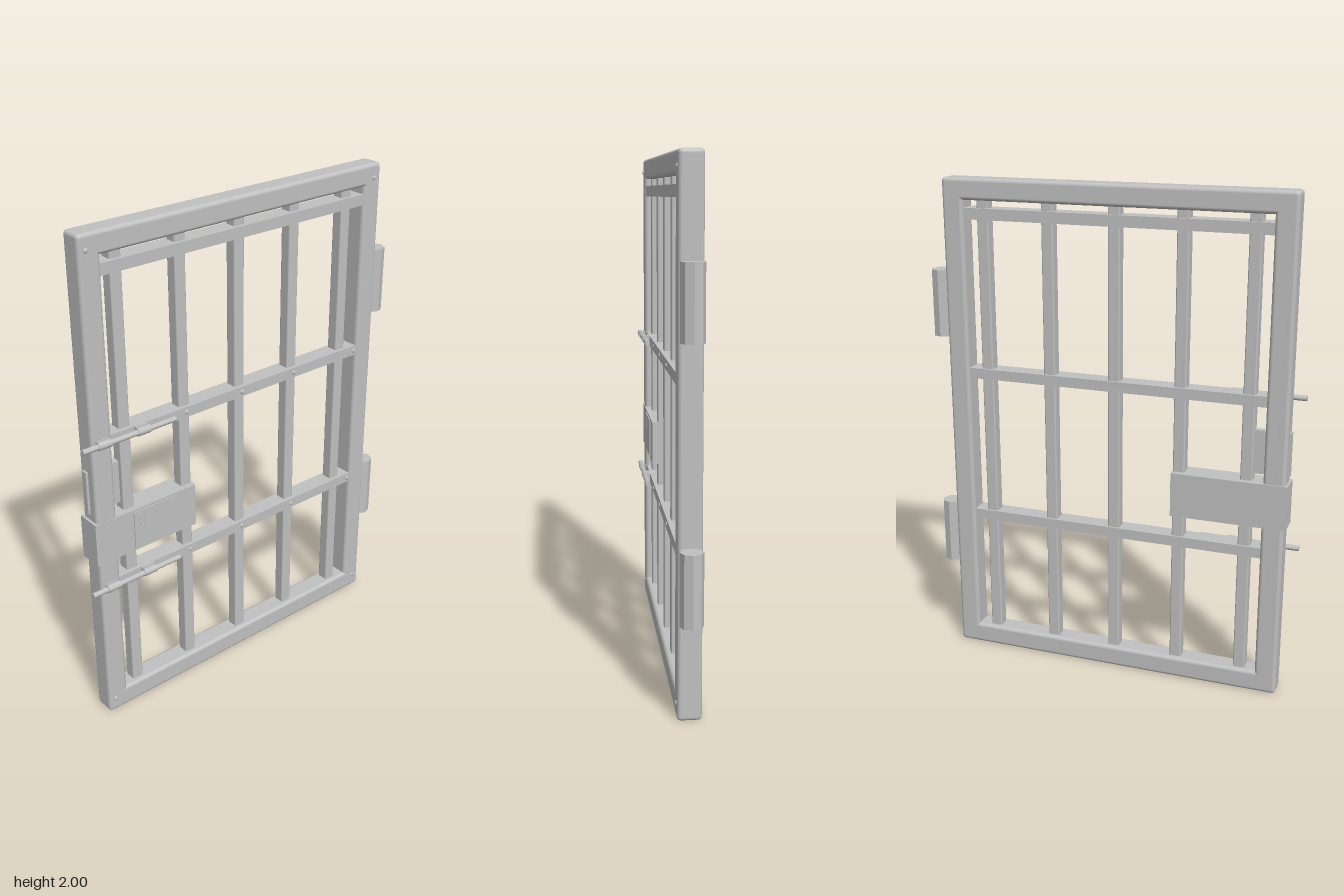
import * as THREE from 'three';
import { RoundedBoxGeometry } from 'three/addons/geometries/RoundedBoxGeometry.js';

export function createModel() {
  const model = new THREE.Group();
  model.name = 'barredGate';
  const steel = new THREE.MeshStandardMaterial({ color: 0xc0c0c0 });
  steel.name = 'steelGrey';

  const add = (name, geometry, x, y, z) => {
    const mesh = new THREE.Mesh(geometry, steel);
    mesh.name = name;
    mesh.position.set(x, y, z);
    model.add(mesh);
    return mesh;
  };
  // box given by its extents on each axis
  const box = (name, x0, x1, y0, y1, z0, z1, bevel = 0) => {
    const size = [x1 - x0, y1 - y0, z1 - z0];
    const geometry = bevel
      ? new RoundedBoxGeometry(...size, 3, bevel)
      : new THREE.BoxGeometry(...size);
    return add(name, geometry, (x0 + x1) / 2, (y0 + y1) / 2, (z0 + z1) / 2);
  };
  const rivet = (x, y, z) => {
    const dome = new THREE.SphereGeometry(0.01, 10, 4, 0, Math.PI * 2, 0, Math.PI / 2);
    dome.rotateX(Math.PI / 2).scale(1, 1, 0.6);
    add('rivet', dome, x, y, z);
  };

  // outer frame
  const back = -0.056, front = 0.034;
  box('leftStile', 0.597, 0.684, 0.005, 1.995, back, front, 0.015);
  box('rightStile', -0.715, -0.628, 0.005, 1.995, back, front, 0.015);
  box('topRail', -0.715, 0.684, 1.915, 2, back, front, 0.015);
  box('bottomRail', -0.715, 0.684, 0, 0.087, back, front, 0.015);
  for (const x of [-0.685, 0.648]) for (const y of [0.058, 1.943]) rivet(x, y, front);

  // upright bars
  const barX = [-0.558, -0.288, -0.018, 0.252, 0.522];
  for (const x of barX) box('uprightBar', x - 0.024, x + 0.024, 0.07, 1.93, -0.036, 0.012, 0.006);

  // flat cross bars, riveted where the uprights pass through
  box('topCrossBar', -0.64, 0.605, 1.841, 1.885, -0.045, 0.028);
  for (const y of [0.606, 1.222]) {
    box('crossBar', -0.64, 0.605, y - 0.021, y + 0.021, -0.045, 0.028);
    for (const x of [-0.288, -0.018, 0.252, 0.588]) rivet(x, y, 0.028);

    // sliding bolt with its two guides
    const bolt = new THREE.CylinderGeometry(0.011, 0.011, 0.405, 12).rotateZ(Math.PI / 2);
    add('slidingBolt', bolt, -0.56, y + 0.003, 0.047);
    for (const x of [-0.67, -0.5]) {
      const guide = new THREE.CylinderGeometry(0.016, 0.016, 0.055, 12).rotateZ(Math.PI / 2);
      add('boltGuide', guide, x, y + 0.003, 0.045);
      box('guideFoot', x - 0.027, x + 0.027, y - 0.016, y + 0.02, 0.024, 0.038);
    }
  }

  // latch plate passing through the stile
  box('latchPlate', -0.725, -0.583, 0.93, 1.105, -0.03, -0.005);

  // lock case with cover and keyhole
  box('lockCase', -0.725, -0.263, 0.72, 0.9, -0.061, 0.036);
  box('lockCover', -0.555, -0.355, 0.732, 0.89, 0.036, 0.04);
  add('keyholeRing', new THREE.TorusGeometry(0.011, 0.002, 6, 16), -0.517, 0.857, 0.04);
  add('keyholeSlot', new THREE.TorusGeometry(0.008, 0.002, 6, 16), -0.517, 0.833, 0.04)
    .scale.y = 1.5;

  // eight-sided hinge barrels
  for (const y of [0.508, 1.5]) {
    const barrel = new THREE.CylinderGeometry(0.043, 0.043, 0.27, 8).toNonIndexed();
    barrel.computeVertexNormals();
    add('hingeBarrel', barrel, 0.719, y, -0.012);
  }
  return model;
}
